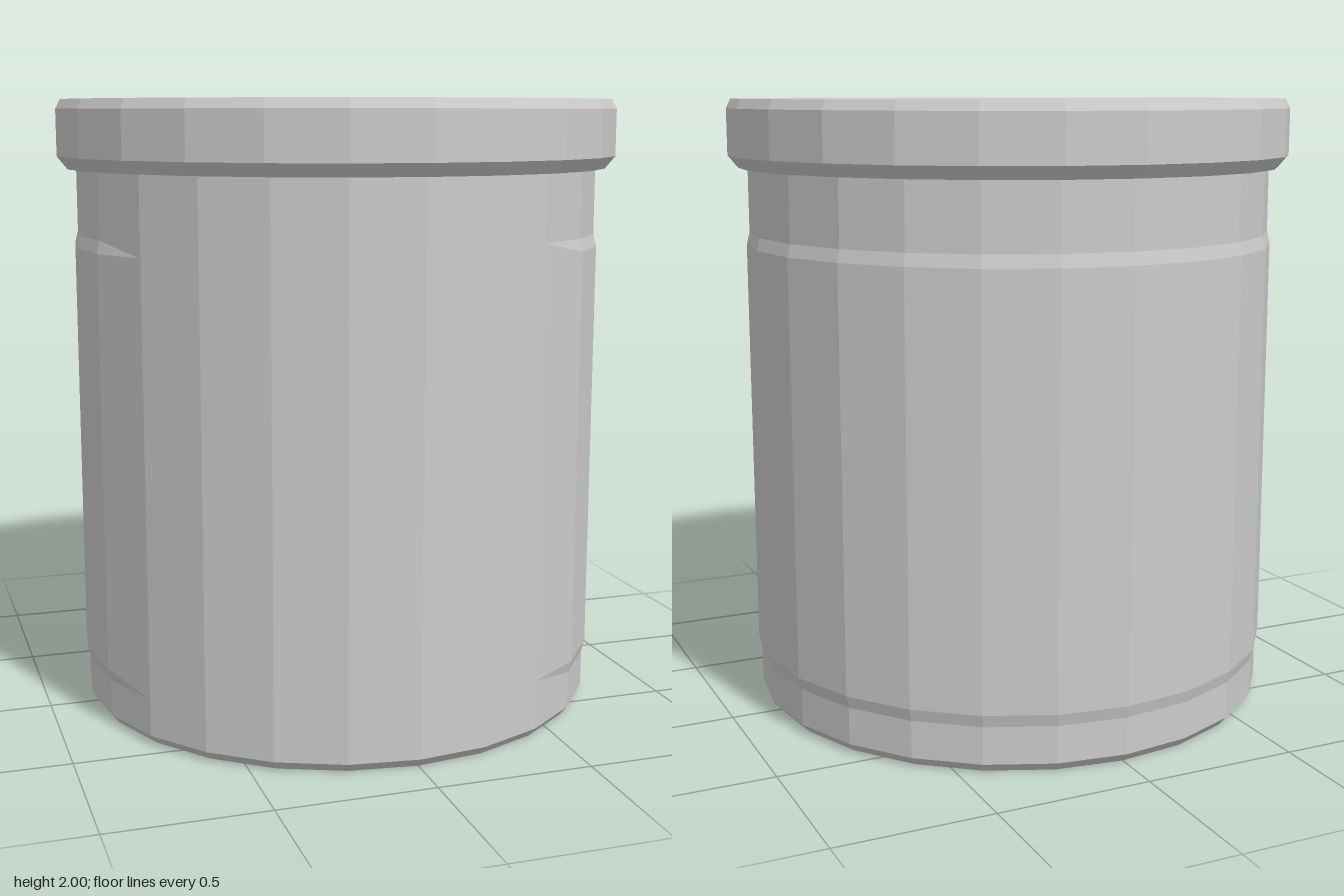
import * as THREE from 'three';

const SIDES = 24;
const BODY_R = 0.86;
const LABEL_R = 0.87;

// Revolve a profile of [radius, height] pairs, listed from underside to top.
function lathe(name, profile, material, sides = SIDES, start = 0, sweep = Math.PI * 2) {
  const points = profile.map(([r, y]) => new THREE.Vector2(r, y));
  const mesh = new THREE.Mesh(new THREE.LatheGeometry(points, sides, start, sweep), material);
  mesh.name = name;
  return mesh;
}

export function createModel() {
  const group = new THREE.Group();
  group.name = 'liddedJar';
  const material = new THREE.MeshStandardMaterial({ color: 0xcccccc, flatShading: true });

  // Body with a recessed base and a small hole in its middle
  group.add(lathe('body', [
    [0, 0.12], [0.07, 0.12], [0.07, 0.05], [0.77, 0.05], [0.8, 0],
    [0.835, 0], [BODY_R, 0.03], [BODY_R, 1.8],
  ], material));

  // Thin raised band around the sides and back, open at the front
  const segments = 18;
  const profile = [[BODY_R, 0.15], [LABEL_R, 0.19], [LABEL_R, 1.53], [BODY_R, 1.57]];
  const label = lathe('wrapBand', profile, material, segments, Math.PI / 6, Math.PI * 1.5);
  // Both ends of the band blend into the body
  const pos = label.geometry.attributes.position;
  for (const column of [0, segments]) {
    for (let j = 0; j < profile.length; j++) {
      const i = column * profile.length + j;
      const k = BODY_R / Math.hypot(pos.getX(i), pos.getZ(i));
      pos.setX(i, pos.getX(i) * k);
      pos.setZ(i, pos.getZ(i) * k);
    }
  }
  label.geometry.computeVertexNormals();
  group.add(label);

  // Overhanging lid with bevelled edges
  group.add(lathe('lid', [
    [0.84, 1.78], [0.89, 1.78], [0.923, 1.82], [0.923, 1.97], [0.908, 2], [0, 2],
  ], material));

  return group;
}
